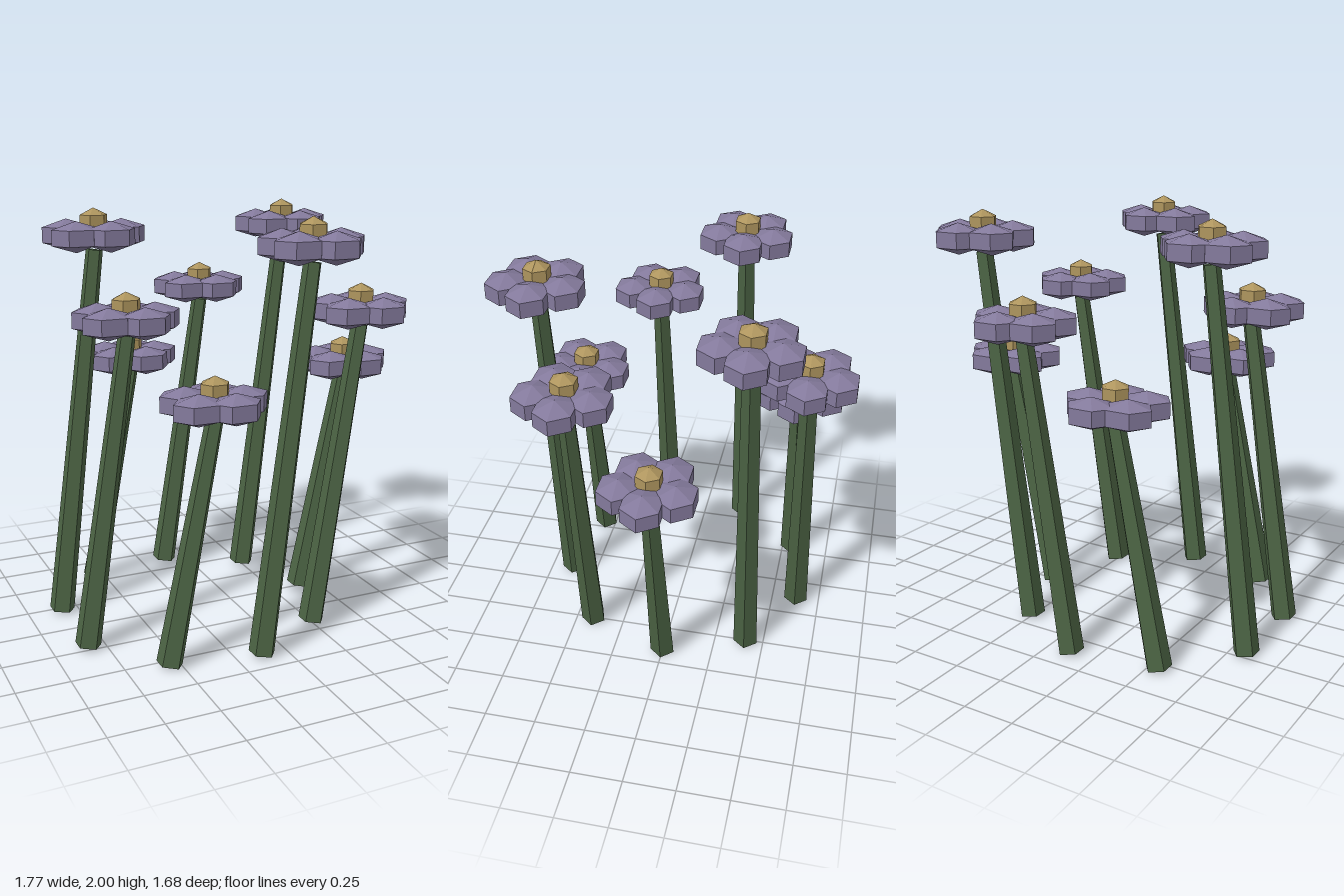
import * as THREE from 'three';

const stemMat = new THREE.MeshStandardMaterial({ color: 0x4c6444, flatShading: true });
stemMat.name = 'stem green';
const petalMat = new THREE.MeshStandardMaterial({ color: 0x847a9c, flatShading: true });
petalMat.name = 'petal purple';
const heartMat = new THREE.MeshStandardMaterial({ color: 0xae955e, flatShading: true });
heartMat.name = 'heart gold';

// Faceted six-sided pebble; rx and rz are the radii of its widest ring
function pebble(rx, ry, rz) {
  const ring = Math.sin(Math.PI / 3);
  return new THREE.SphereGeometry(1, 6, 3).scale(rx / ring, ry, rz / ring);
}

const petalGeo = pebble(0.117, 0.073, 0.1);
const heartGeo = pebble(0.067, 0.065, 0.064);

function add(parent, name, geo, mat, x, y, z) {
  const mesh = new THREE.Mesh(geo, mat);
  mesh.name = name;
  mesh.position.set(x, y, z);
  parent.add(mesh);
  return mesh;
}

// One flower: leaning stem, five petals and a heart
function makeFlower(headY) {
  const flower = new THREE.Group();
  flower.name = 'flower';

  // Five-sided stem, leaning toward +x and tapering upward
  const base = new THREE.Vector2(-0.228, 0.0135);
  const top = new THREE.Vector2(0, headY - 0.069);
  const axis = top.clone().sub(base);
  const stemGeo = new THREE.CylinderGeometry(0.042, 0.0635, axis.length(), 5, 1, false, Math.PI / 2);
  const stem = add(flower, 'stem', stemGeo, stemMat, (base.x + top.x) / 2, (base.y + top.y) / 2, 0);
  stem.rotation.z = -Math.atan2(axis.x, axis.y);

  // Petals keep the same orientation around the heart
  for (let i = 0; i < 5; i++) {
    const a = (i / 5) * Math.PI * 2;
    add(flower, 'petal', petalGeo, petalMat, Math.cos(a) * 0.136, headY, Math.sin(a) * 0.136);
  }
  add(flower, 'heart', heartGeo, heartMat, 0, headY + 0.061, 0);
  return flower;
}

export function createModel() {
  const model = new THREE.Group();
  model.name = 'flowerRing';
  // Nine flowers in a ring, cycling through three heights
  for (let i = 0; i < 9; i++) {
    const a = (i / 9) * Math.PI * 2;
    const flower = makeFlower(1.204 + (i % 3) * 0.335);
    flower.position.set(Math.cos(a) * 0.636 - 0.007, 0, Math.sin(a) * 0.636);
    model.add(flower);
  }
  return model;
}
